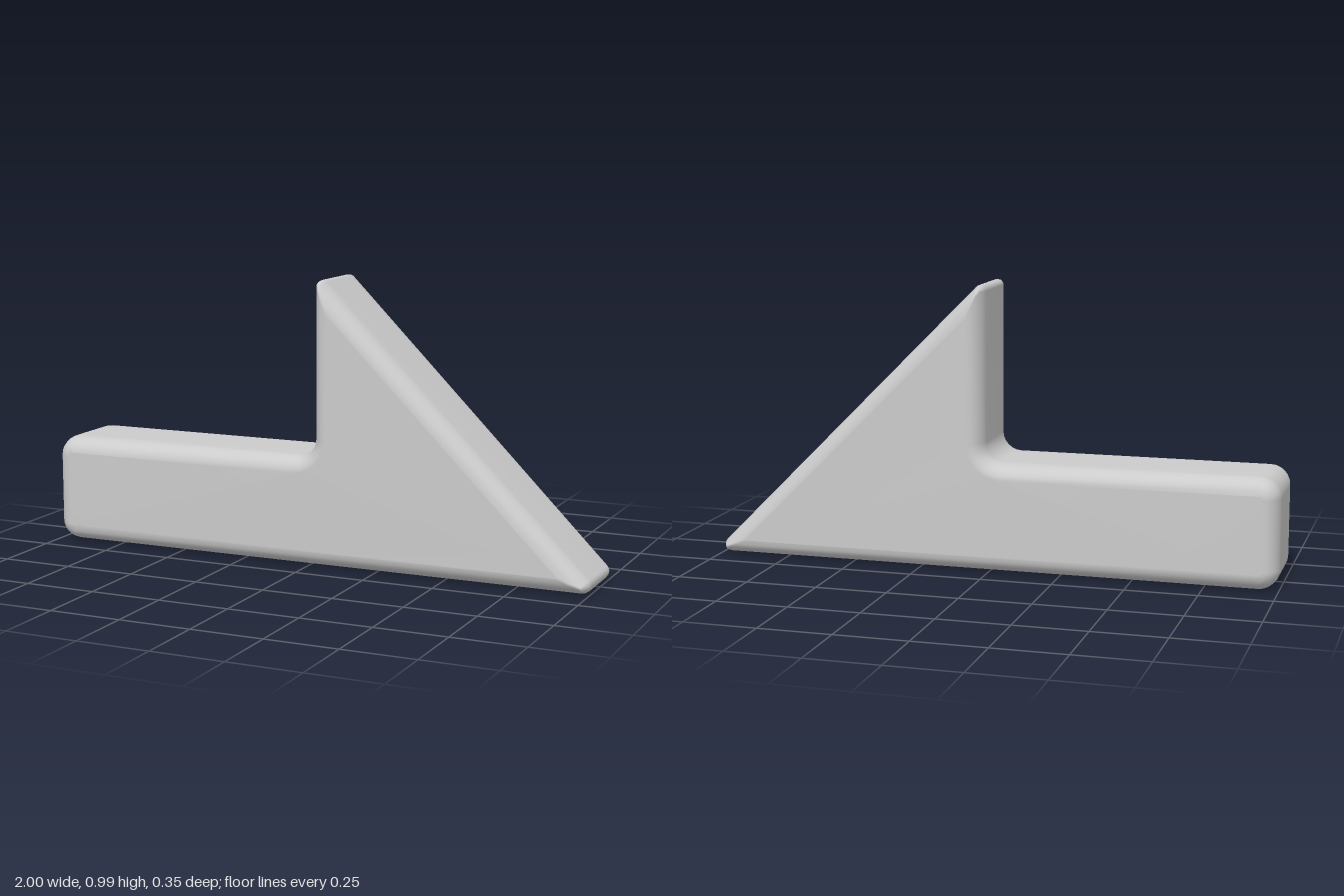
import * as THREE from 'three';

// Side outline, counter-clockwise: corner x, corner y, fillet radius
const CORNERS = [
  [-1, 0, 0.07],
  [1.038, 0, 0.027],
  [0.02, 1.018, 0.02],
  [0.02, 0.383, 0.065],
  [-1, 0.383, 0.07],
];
const FILLET_STEPS = 6;
const BEVEL_STEPS = 5;
const BEVEL_INSET = 0.055;
const FLAT_HALF = 0.1; // half depth of the straight rim
const BEVEL_DEPTH = 0.073;

// Outline moved inwards by inset, with every corner filleted
function outline(inset) {
  const pts = CORNERS.map(([x, y]) => new THREE.Vector2(x, y));
  const n = pts.length;
  const ring = [];
  for (let i = 0; i < n; i++) {
    const d1 = pts[i].clone().sub(pts[(i + n - 1) % n]).normalize();
    const d2 = pts[(i + 1) % n].clone().sub(pts[i]).normalize();
    const n1 = new THREE.Vector2(-d1.y, d1.x);
    const n2 = new THREE.Vector2(-d2.y, d2.x);
    const corner = pts[i].clone().addScaledVector(n1.clone().add(n2), inset / (1 + n1.dot(n2)));
    const turn = Math.atan2(d1.cross(d2), d1.dot(d2));
    const sign = Math.sign(turn);
    const radius = Math.max(0.004, CORNERS[i][2] - sign * inset);
    const centre = corner
      .addScaledVector(d1, -radius * Math.tan(Math.abs(turn) / 2))
      .addScaledVector(n1, sign * radius);
    for (let k = 0; k <= FILLET_STEPS; k++) {
      const spoke = n1.clone().rotateAround(new THREE.Vector2(), (turn * k) / FILLET_STEPS);
      ring.push(centre.clone().addScaledVector(spoke, -sign * radius));
    }
  }
  return ring;
}

// Loft of outlines from back to front, closed by two flat caps
function bodyGeometry() {
  const layers = [];
  for (let k = 0; k <= BEVEL_STEPS; k++) {
    const a = ((k / BEVEL_STEPS) * Math.PI) / 2;
    const ring = outline(BEVEL_INSET * (1 - Math.cos(a)));
    const z = FLAT_HALF + BEVEL_DEPTH * Math.sin(a);
    layers.unshift({ ring, z: -z });
    layers.push({ ring, z });
  }

  const positions = [];
  const index = [];
  for (const { ring, z } of layers) {
    // the sides thin slightly towards the pointed toe
    for (const p of ring) positions.push(p.x, p.y, z * (1 - 0.05 * Math.max(0, p.x)));
  }

  const count = layers[0].ring.length;
  for (let i = 0; i < layers.length - 1; i++) {
    for (let j = 0; j < count; j++) {
      const a = i * count + j;
      const b = i * count + ((j + 1) % count);
      index.push(a, b, b + count, a, b + count, a + count);
    }
  }

  const front = (layers.length - 1) * count;
  for (const [a, b, c] of THREE.ShapeUtils.triangulateShape(layers[0].ring, [])) {
    index.push(a, c, b, front + a, front + b, front + c);
  }

  const geometry = new THREE.BufferGeometry();
  geometry.setAttribute('position', new THREE.Float32BufferAttribute(positions, 3));
  geometry.setIndex(index);
  geometry.computeVertexNormals();
  return geometry;
}

export function createModel() {
  const group = new THREE.Group();
  group.name = 'wedgeBlock';
  const material = new THREE.MeshStandardMaterial({ color: 0xcccccc });
  const body = new THREE.Mesh(bodyGeometry(), material);
  body.name = 'barWithWedge';
  group.add(body);
  return group;
}
